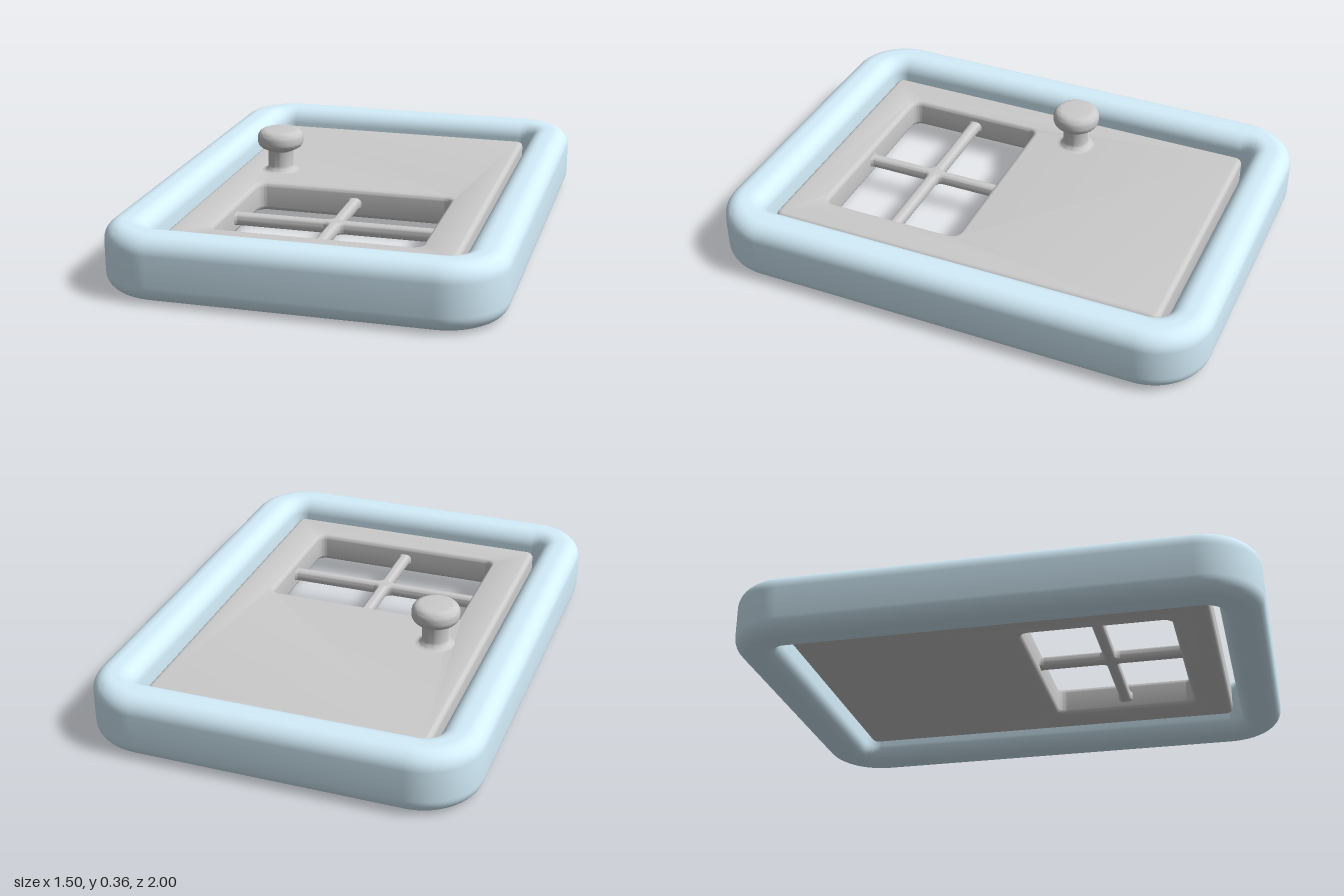
import * as THREE from 'three';
import { toCreasedNormals } from 'three/addons/utils/BufferGeometryUtils.js';

// Rounded rectangle outline in plan: x to the right, second coordinate along z
function roundedRect(x0, x1, z0, z1, r, Type = THREE.Path) {
  const p = new Type();
  p.moveTo(x0 + r, z0);
  p.lineTo(x1 - r, z0);
  p.absarc(x1 - r, z0 + r, r, -Math.PI / 2, 0, false);
  p.lineTo(x1, z1 - r);
  p.absarc(x1 - r, z1 - r, r, 0, Math.PI / 2, false);
  p.lineTo(x0 + r, z1);
  p.absarc(x0 + r, z1 - r, r, Math.PI / 2, Math.PI, false);
  p.lineTo(x0, z0 + r);
  p.absarc(x0 + r, z0 + r, r, Math.PI, Math.PI * 1.5, false);
  return p;
}

// Flat slab between two heights with softly rounded edges
function slab(name, outline, holes, y0, y1, round, material, segments = 5) {
  outline.holes.push(...holes);
  const geo = new THREE.ExtrudeGeometry(outline, {
    depth: y1 - y0 - 2 * round,
    bevelEnabled: true,
    bevelThickness: round,
    bevelSize: round,
    bevelOffset: -round,
    bevelSegments: segments,
    curveSegments: 10,
  });
  // Lay flat: plan axis becomes +z, extrusion runs downward from y1
  geo.rotateX(Math.PI / 2);
  geo.translate(0, y1 - round, 0);
  const mesh = new THREE.Mesh(toCreasedNormals(geo, 0.6), material);
  mesh.name = name;
  return mesh;
}

export function createModel() {
  const group = new THREE.Group();
  group.name = 'doorWithFrame';
  const grey = new THREE.MeshStandardMaterial({ color: 0xcccccc });
  const blue = new THREE.MeshStandardMaterial({ color: 0xd5effc });

  // Padded surround
  group.add(slab('frame',
    roundedRect(-0.75, 0.75, -1, 1, 0.23, THREE.Shape),
    [roundedRect(-0.585, 0.585, -0.835, 0.835, 0.06)],
    0, 0.25, 0.065, blue, 8));

  // Door leaf with window opening
  const [wx, wz0, wz1] = [0.4, 0.075, 0.65];
  group.add(slab('doorPanel',
    roundedRect(-0.55, 0.55, -0.8, 0.8, 0.03, THREE.Shape),
    [roundedRect(-wx, wx, wz0, wz1, 0.035)],
    0.065, 0.185, 0.02, grey));

  // Crossed window bars; the outer rim is buried in the door leaf
  const panes = [];
  for (const [x0, x1] of [[-wx - 0.004, -0.022], [0.022, wx + 0.004]]) {
    for (const [z0, z1] of [[wz0 - 0.004, 0.338], [0.384, wz1 + 0.004]]) {
      panes.push(roundedRect(x0, x1, z0, z1, 0.02));
    }
  }
  group.add(slab('windowBars',
    roundedRect(-wx - 0.05, wx + 0.05, wz0 - 0.05, wz1 + 0.05, 0.03, THREE.Shape),
    panes, 0.1, 0.15, 0.018, grey));

  // Knob with flared foot and rounded head
  const profile = [new THREE.Vector2(0.078, 0.18)];
  const arc = (cx, cy, r, a0, a1, n = 7) => {
    for (let i = 0; i <= n; i++) {
      const a = a0 + (a1 - a0) * i / n;
      profile.push(new THREE.Vector2(cx + r * Math.cos(a), cy + r * Math.sin(a)));
    }
  };
  arc(0.078, 0.211, 0.026, -Math.PI / 2, -Math.PI);
  arc(0.064, 0.268, 0.012, Math.PI, Math.PI / 2, 4);
  arc(0.061, 0.314, 0.034, -Math.PI / 2, 0);
  arc(0.061, 0.326, 0.034, 0, Math.PI / 2);
  profile.push(new THREE.Vector2(0, 0.36));
  const knob = new THREE.Mesh(
    toCreasedNormals(new THREE.LatheGeometry(profile, 48), 0.6), grey);
  knob.name = 'knob';
  knob.position.set(-0.37, 0, -0.12);
  group.add(knob);

  return group;
}
